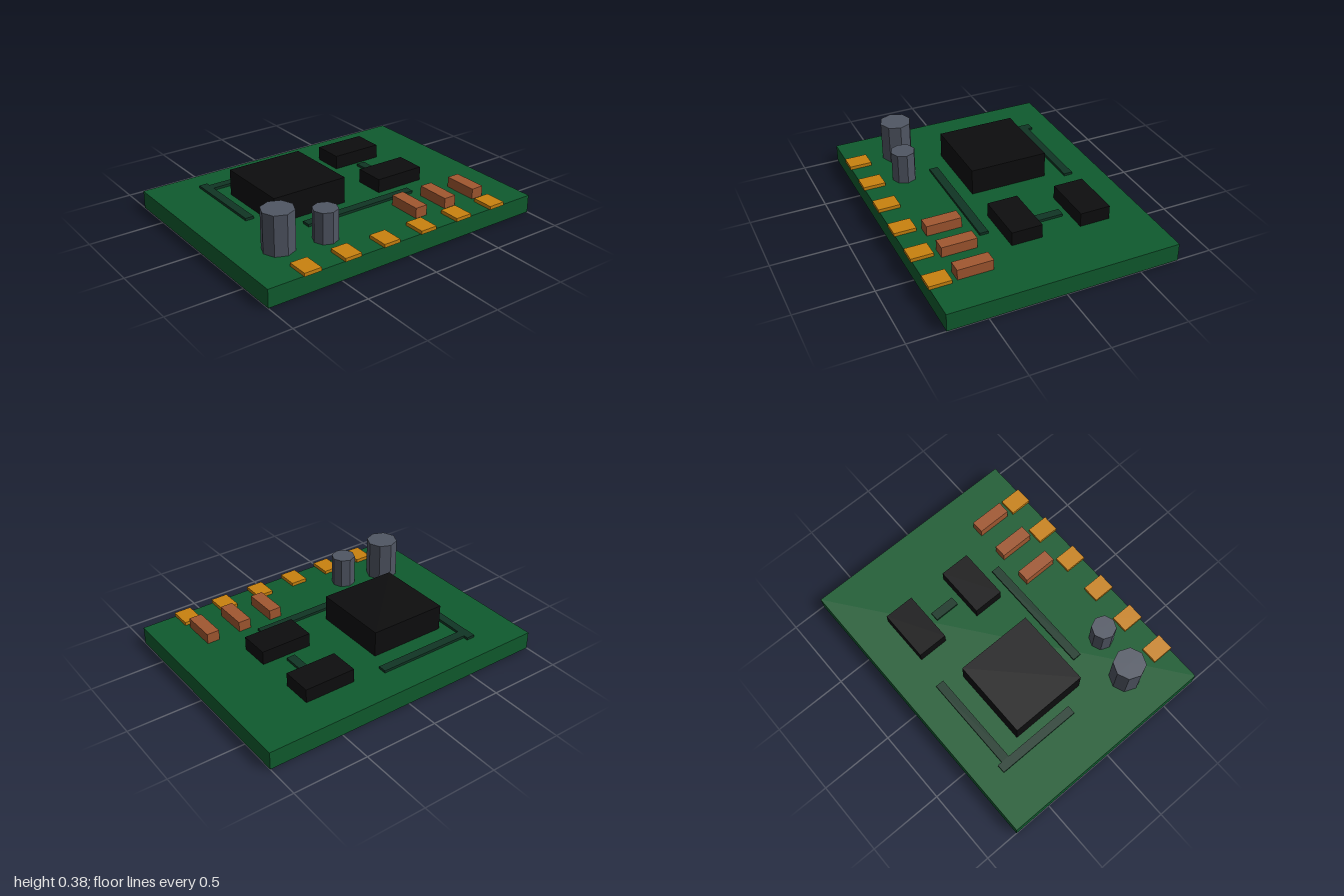
import * as THREE from 'three';

const mat = (name, color) => {
  const m = new THREE.MeshStandardMaterial({ color });
  m.name = name;
  return m;
};

export function createModel() {
  const green = mat('board green', 0x0f5b2e);
  const dark = mat('trace green', 0x103524);
  const black = mat('chip black', 0x0d0d0e);
  const gold = mat('contact gold', 0xc9820f);
  const copper = mat('resistor copper', 0xa15730);
  const grey = mat('capacitor grey', 0x505663);
  grey.flatShading = true;

  const group = new THREE.Group();
  group.name = 'circuitBoard';
  const top = 0.12;

  const add = (name, geometry, material, x, y, z) => {
    const mesh = new THREE.Mesh(geometry, material);
    mesh.name = name;
    mesh.position.set(x, y, z);
    group.add(mesh);
  };
  // Box given by its x, y and z ranges
  const block = (name, material, x0, x1, y0, y1, z0, z1) =>
    add(name, new THREE.BoxGeometry(x1 - x0, y1 - y0, z1 - z0), material,
      (x0 + x1) / 2, (y0 + y1) / 2, (z0 + z1) / 2);

  block('board', green, -1, 1, 0, top, -0.766, 0.758);

  // Processor and two memory chips
  block('mainChip', black, -0.56, -0.03, top, 0.296, -0.386, 0.141);
  block('rearChip', black, 0.235, 0.585, top, 0.213, -0.52, -0.315);
  block('frontChip', black, 0.235, 0.585, top, 0.213, -0.05, 0.156);

  // Raised traces
  const traceTop = 0.137;
  block('sideTrace', dark, -0.678, -0.62, top, traceTop, -0.595, -0.005);
  block('rearTrace', dark, -0.62, 0.03, top, traceTop, -0.563, -0.505);
  block('frontTrace', dark, -0.41, 0.41, top, traceTop, 0.23, 0.288);
  block('chipTrace', dark, 0.38, 0.44, top, traceTop, -0.27, -0.095);

  // Eight-sided capacitors
  for (const [name, x, z, r, y] of [
    ['largeCapacitor', -0.706, 0.41, 0.105, 0.384],
    ['smallCapacitor', -0.413, 0.469, 0.081, 0.326],
  ]) add(name, new THREE.CylinderGeometry(r, r, y - top, 8), grey, x, (y + top) / 2, z);

  // Row of resistors
  for (let i = 0; i < 3; i++) {
    const x = 0.235 + i * 0.2355;
    block('resistor' + (i + 1), copper, x - 0.043, x + 0.043, top, 0.19, 0.35, 0.583);
  }

  // Edge contacts, slightly overhanging the front
  for (let i = 0; i < 6; i++) {
    const x = -0.706 + i * 0.2824;
    block('contact' + (i + 1), gold, x - 0.058, x + 0.058, top, 0.143, 0.619, 0.766);
  }
  return group;
}
